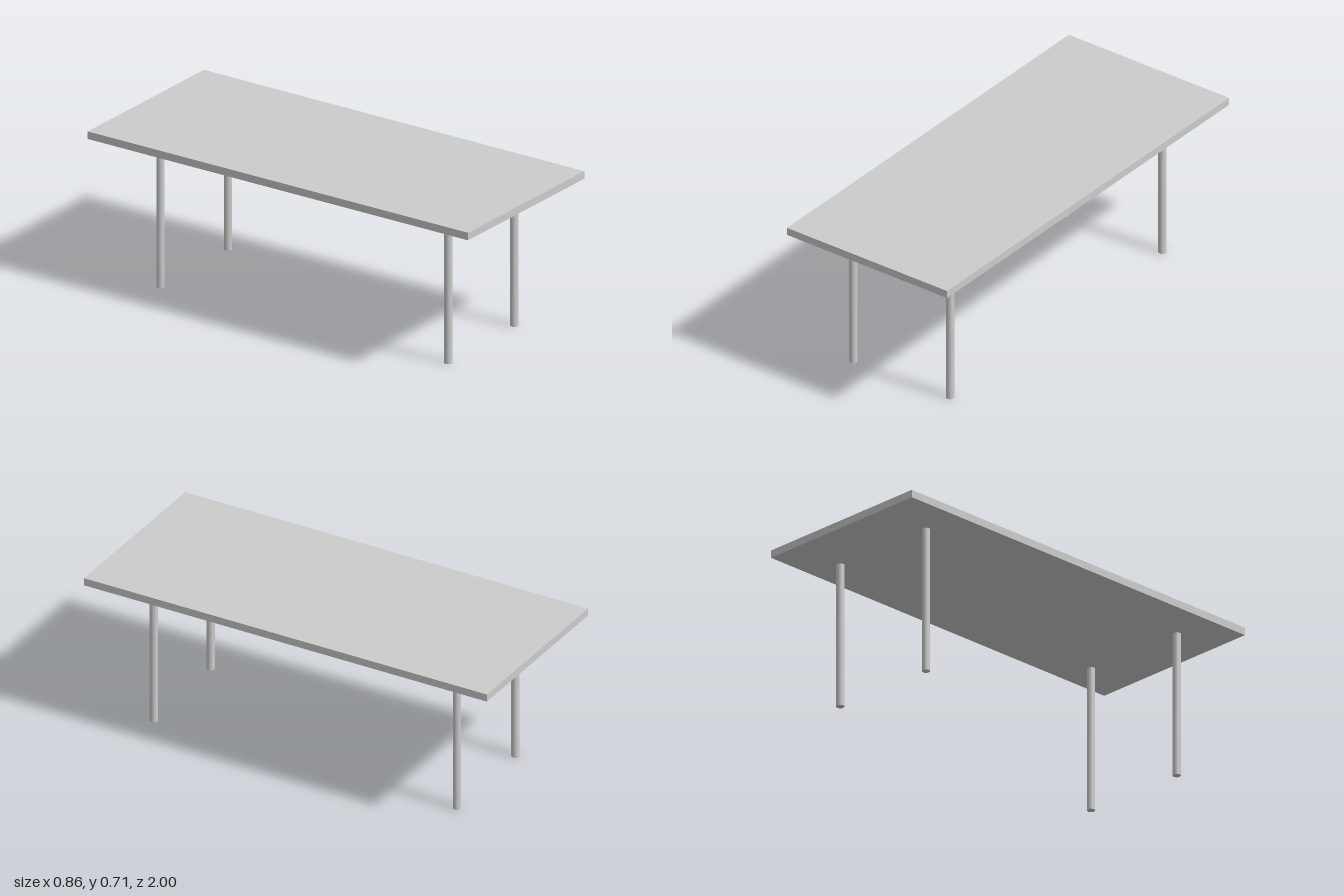
import * as THREE from 'three';

const TOP_Y = 0.715, TOP_THICK = 0.035;
const LEG_RADIUS = 0.018, LEG_HEIGHT = 0.67;

export function createModel() {
  const table = new THREE.Group();
  table.name = 'table';
  const material = new THREE.MeshStandardMaterial({ color: 0xcccccc });

  // Flat rectangular slab
  const top = new THREE.Mesh(new THREE.BoxGeometry(0.862, TOP_THICK, 2), material);
  top.name = 'tableTop';
  top.position.y = TOP_Y - TOP_THICK / 2;
  table.add(top);

  // Round legs, placed slightly unevenly and stopping just short of the slab
  const legGeometry = new THREE.CylinderGeometry(LEG_RADIUS, LEG_RADIUS, LEG_HEIGHT, 32);
  const legs = [
    ['frontLeftLeg', 0.26, 0.753],
    ['frontRightLeg', -0.25, 0.768],
    ['backLeftLeg', 0.26, -0.752],
    ['backRightLeg', -0.255, -0.742],
  ];
  for (const [name, x, z] of legs) {
    const leg = new THREE.Mesh(legGeometry, material);
    leg.name = name;
    leg.position.set(x, LEG_HEIGHT / 2, z);
    table.add(leg);
  }
  return table;
}
